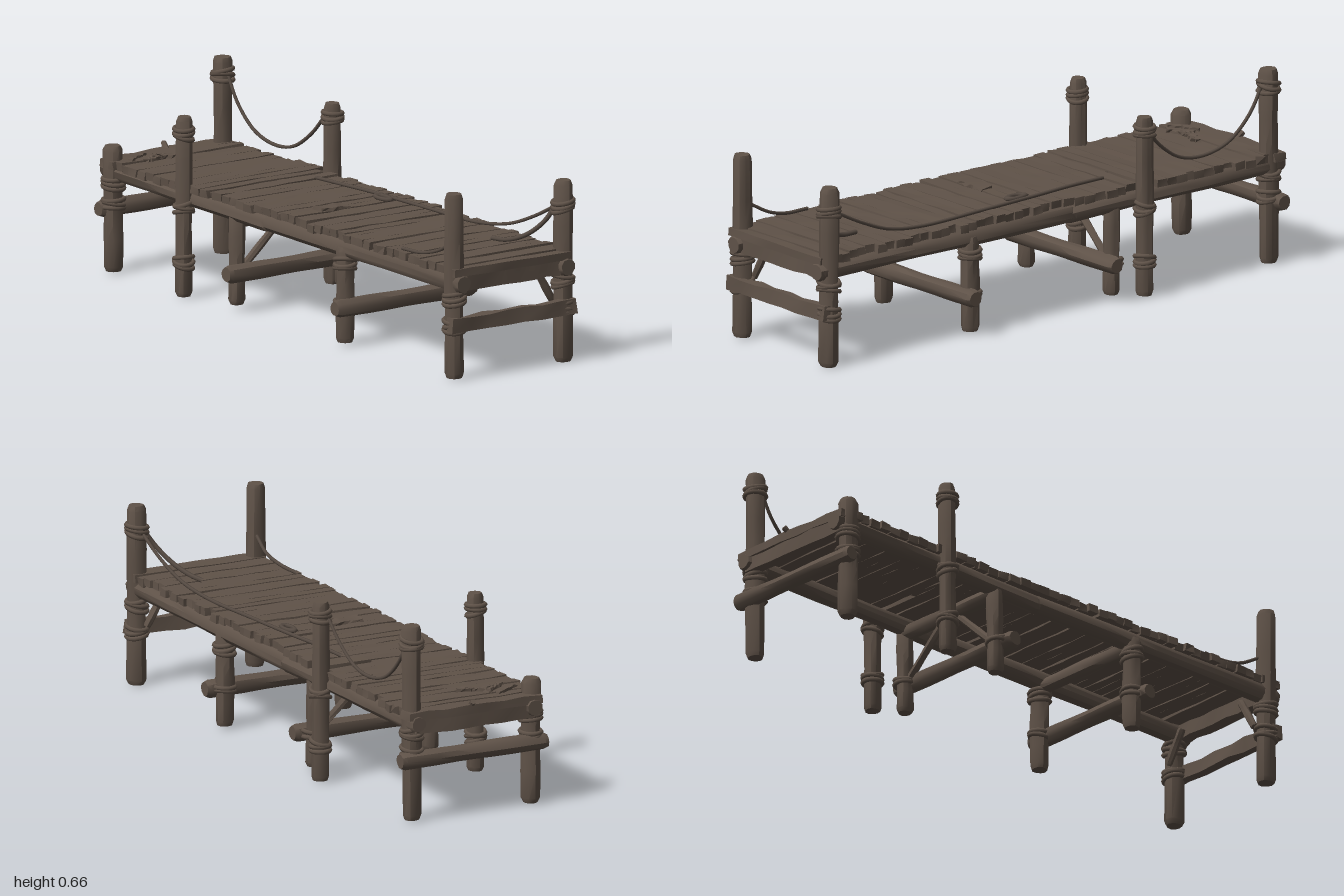
import * as THREE from 'three';
import { toCreasedNormals } from 'three/addons/utils/BufferGeometryUtils.js';

const V = (x, y, z) => new THREE.Vector3(x, y, z);

export function createModel() {
  const group = new THREE.Group();
  const wood = new THREE.MeshStandardMaterial({ color: 0x5f5248 });
  wood.name = 'weatheredWood';
  const hemp = new THREE.MeshStandardMaterial({ color: 0x554a42 });
  hemp.name = 'darkRope';

  // Small seeded generator for worn shapes
  let seed = 17;
  const rand = () => (seed = (seed * 16807) % 2147483647) / 2147483647;
  const jit = (a) => (rand() * 2 - 1) * a;

  function add(name, geo, mat = wood) {
    const mesh = new THREE.Mesh(geo, mat);
    mesh.name = name;
    group.add(mesh);
    return mesh;
  }

  // Rough log between two points, slightly lumpy and worn at both ends
  function log(name, a, b, r, sides = 10, endScale = 0.86) {
    const len = a.distanceTo(b);
    const geo = new THREE.CylinderGeometry(r, r, len, sides, 8);
    const p = geo.attributes.position;
    const ph = rand() * 6;
    for (let i = 0; i < p.count; i++) {
      const x = p.getX(i), z = p.getZ(i), t = p.getY(i) / len + 0.5;
      const ang = Math.atan2(z, x);
      let k = 1 + 0.05 * Math.sin(3 * ang + ph + t * 4) + 0.05 * Math.sin(t * 11 + ph);
      if (t > 0.99 || t < 0.01) k *= endScale;
      else if (t > 0.86) p.setY(i, len / 2 - r * 0.5);
      else if (t < 0.14) p.setY(i, -len / 2 + r * 0.5);
      p.setX(i, x * k);
      p.setZ(i, z * k);
    }
    const mesh = add(name, toCreasedNormals(geo, 0.7));
    mesh.position.copy(a).lerp(b, 0.5);
    mesh.quaternion.setFromUnitVectors(V(0, 1, 0), b.clone().sub(a).normalize());
  }

  // Rough sawn board whose long side runs along x
  function board(name, x0, x1, y, z, h, d, rough = 0.004) {
    const geo = new THREE.BoxGeometry(x1 - x0, h, d, 7, 1, 1);
    const p = geo.attributes.position;
    const off = Array.from({ length: 32 }, () => [jit(rough * 1.4), jit(rough * 0.6), jit(rough)]);
    for (let i = 0; i < p.count; i++) {
      const col = Math.round((p.getX(i) / (x1 - x0) + 0.5) * 7);
      const o = off[col * 4 + (p.getY(i) > 0 ? 2 : 0) + (p.getZ(i) > 0 ? 1 : 0)];
      p.setXYZ(i, p.getX(i) + o[0], p.getY(i) + o[1], p.getZ(i) + o[2]);
    }
    const mesh = add(name, toCreasedNormals(geo, 0.4));
    mesh.position.set((x0 + x1) / 2, y, z);
    return mesh;
  }

  // Rope lashing: tilted rings around a post
  function lashing(x, y, z, r, turns = 3) {
    for (let i = 0; i < turns; i++) {
      const ring = add('lashing', new THREE.TorusGeometry(r, 0.008, 6, 14), wood);
      ring.position.set(x, y + (i - (turns - 1) / 2) * 0.014, z);
      ring.rotation.set(Math.PI / 2 + jit(0.25), jit(0.25), 0);
    }
  }

  function rope(name, pts, r = 0.006) {
    const curve = new THREE.CatmullRomCurve3(pts.map((q) => V(...q)));
    add(name, new THREE.TubeGeometry(curve, 40, r, 6), hemp);
  }

  // Posts: x, z, bottom, top, radius, lashing heights
  const posts = [
    [-0.217, 0.94, 0.005, 0.62, 0.032, [0.18, 0.27]],
    [0.22, 0.94, 0, 0.605, 0.032, [0.18, 0.27, 0.52]],
    [0.215, -0.932, 0.005, 0.66, 0.032, [0.23, 0.3, 0.6]],
    [-0.225, -0.932, 0.005, 0.425, 0.032, [0.23, 0.3]],
    [0.252, -0.375, 0.005, 0.607, 0.029, [0.12, 0.3, 0.56]],
    [-0.25, -0.51, 0.005, 0.605, 0.028, [0.12, 0.3, 0.55]],
    [0.22, 0.34, 0.01, 0.33, 0.031, [0.27]],
    [-0.22, 0.34, 0.01, 0.33, 0.031, [0.27]],
    [0.215, -0.265, 0.02, 0.33, 0.027, []],
    [-0.215, -0.265, 0.02, 0.33, 0.027, []],
  ];
  for (const [x, z, y0, y1, r, ties] of posts) {
    log('post', V(x, y0, z), V(x + jit(0.003), y1, z), r, 10, 0.8);
    ties.forEach((y) => lashing(x, y, z, r + 0.003));
  }

  // Long side beams
  for (const s of [-1, 1]) {
    log('sideBeam', V(s * 0.21, 0.322, 0.985), V(s * 0.21, 0.325, -0.1), 0.031);
    log('sideBeam', V(s * 0.212, 0.322, -0.08), V(s * 0.215, 0.336, -0.985), 0.03);
  }

  // Cross beams under the deck
  board('frontBeam', -0.2, 0.19, 0.322, 0.95, 0.05, 0.04);
  board('backBeam', -0.22, 0.22, 0.325, -0.955, 0.05, 0.04);
  for (const z of [0.34, -0.265]) {
    log('underBeam', V(-0.22, 0.303, z), V(0.22, 0.303, z), 0.026);
  }

  // Low tie beams between the posts
  board('frontTie', -0.252, 0.252, 0.186, 0.965, 0.048, 0.034, 0.006);
  log('backTie', V(-0.27, 0.212, -0.955), V(0.27, 0.212, -0.955), 0.028);
  for (const z of [0.365, -0.235]) {
    log('middleTie', V(-0.28, 0.132, z), V(0.28, 0.132, z), 0.029);
    for (const s of [-1, 1]) lashing(s * 0.22, 0.132, z - 0.025, 0.034, 2);
  }

  // Diagonal braces
  for (const s of [-1, 1]) {
    log('brace', V(s * 0.205, 0.13, -0.262), V(s * 0.025, 0.295, -0.262), 0.013, 7);
    log('brace', V(s * 0.205, 0.2, 0.9), V(s * 0.14, 0.31, 0.9), 0.013, 7);
  }

  // Deck planks in three runs, with open cracks between the runs
  const runs = [
    [0.98, 0.012, 25, -0.242, 0.232],
    [-0.002, -0.36, 8, -0.242, 0.232],
    [-0.385, -0.85, 11, -0.25, 0.24],
  ];
  for (const [z0, z1, n, xl, xr] of runs) {
    const step = (z1 - z0) / n;
    for (let i = 0; i < n; i++) {
      const z = z0 + (i + 0.5) * step;
      const y = 0.362 + 0.006 * (1 - Math.abs(z)) + jit(0.003);
      const m = board('deckPlank', xl + jit(0.007), xr + jit(0.014), y, z, 0.026, Math.abs(step) * 0.985, 0.0025);
      m.rotation.set(jit(0.03), jit(0.006), jit(0.006));
    }
  }
  // Broken plank ends beside the cracks
  board('brokenPlank', -0.24, 0.06, 0.366, -0.369, 0.022, 0.022).rotation.y = 0.02;
  board('brokenPlank', -0.24, 0.05, 0.366, 0.005, 0.022, 0.014);
  // Back end planks and loose splinters
  for (const [z, d] of [[-0.955, 0.052], [-0.91, 0.036], [-0.871, 0.038]]) {
    board('endPlank', -0.25 + jit(0.008), 0.248 + jit(0.008), 0.364 + jit(0.003), z, 0.028, d);
  }
  for (let i = 0; i < 5; i++) {
    const m = board('splinter', -0.05, 0.05, 0.384, -0.86 + jit(0.03), 0.01, 0.014);
    m.position.x = -0.11 + jit(0.07);
    m.rotation.y = jit(0.7);
  }
  board('loosePlank', -0.135, -0.02, 0.388, 0.07, 0.01, 0.05).rotation.z = -0.05;
  log('peg', V(0.01, 0.36, -0.95), V(0.018, 0.39, -0.99), 0.01, 7);

  // Hanging and trailing ropes
  rope('hangingRope', [[0.235, 0.56, -0.395], [0.228, 0.49, -0.46], [0.222, 0.432, -0.55],
    [0.22, 0.418, -0.65], [0.218, 0.445, -0.76], [0.216, 0.52, -0.85], [0.215, 0.61, -0.905]]);
  rope('trailingRope', [[0.215, 0.515, 0.91], [0.212, 0.46, 0.8], [0.2, 0.41, 0.67], [0.185, 0.388, 0.52],
    [0.17, 0.388, 0.25], [0.155, 0.39, 0], [0.14, 0.39, -0.15], [0.13, 0.388, -0.3]]);
  rope('looseRope', [[0.205, 0.525, 0.925], [0.17, 0.47, 0.91], [0.135, 0.42, 0.86], [0.108, 0.392, 0.79], [0.095, 0.386, 0.72]], 0.008);
  rope('sideRope', [[-0.21, 0.45, 0.915], [-0.205, 0.41, 0.84], [-0.215, 0.388, 0.76], [-0.222, 0.384, 0.66]]);

  // Rope coil at the end of the trailing rope
  const coil = add('ropeKnot', new THREE.TorusGeometry(0.016, 0.007, 6, 14), hemp);
  coil.position.set(0.13, 0.392, 0.07);
  coil.rotation.x = Math.PI / 2;
  coil.scale.y = 2.2;

  return group;
}
